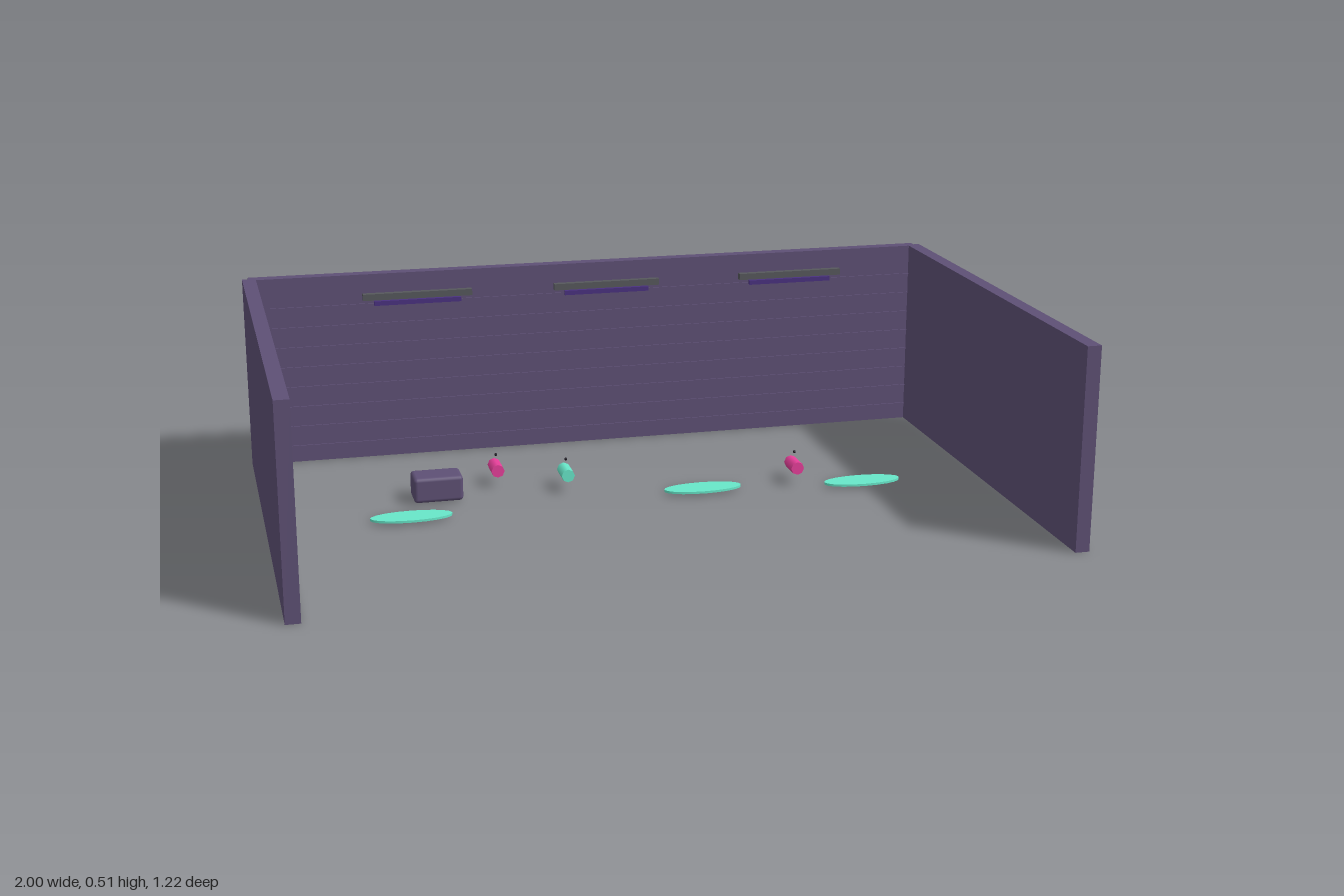
import * as THREE from 'three';
import { RoundedBoxGeometry } from 'three/addons/geometries/RoundedBoxGeometry.js';

const mat = (name, color) => Object.assign(new THREE.MeshStandardMaterial({ color }), { name });

export function createModel() {
  const group = new THREE.Group();
  group.name = 'room';
  const plum = mat('plum', 0x5e5075);
  const charcoal = mat('charcoal', 0x56585c);
  const violet = mat('violet', 0x4a3180);
  const teal = mat('teal', 0x68e8ca);
  const pink = mat('pink', 0xee429f);
  const black = mat('black', 0x1c1822);

  const add = (name, geometry, material, x, y, z) => {
    const mesh = new THREE.Mesh(geometry, material);
    mesh.name = name;
    mesh.position.set(x, y, z);
    group.add(mesh);
    return mesh;
  };
  const box = (name, material, w, h, d, x, y, z) =>
    add(name, new THREE.BoxGeometry(w, h, d), material, x, y, z);

  // Three walls, open at the front
  const H = 0.515;
  box('backWall', plum, 1.89, H, 0.035, -0.039, H / 2, -0.5915);
  box('rightWall', plum, 0.036, H, 1.198, -0.982, H / 2, 0.01);
  box('leftWall', plum, 0.036, H, 1.198, 0.904, H / 2, 0.01);

  // Staggered seam strips along the back wall
  for (let i = 0; i < 8; i++) {
    const x = i % 2 ? 0.033 : -0.027;
    box('wallSeam', plum, 1.934, 0.0025, 0.004, x, 0.045 + i * 0.0555, -0.572);
  }

  // Hanging lamps: housing with a narrower tube below
  for (const x of [-0.553, -0.04, 0.478]) {
    box('lampHousing', charcoal, 0.29, 0.017, 0.017, x, 0.488, -0.42);
    box('lampTube', violet, 0.231, 0.012, 0.011, x, 0.47, -0.42);
  }

  // Storage box
  add('storageBox', new RoundedBoxGeometry(0.128, 0.067, 0.082, 2, 0.01), plum, -0.552, 0.038, -0.163);

  // Small cans lying along z, each with a dark bead above
  for (const [x, z, material] of [[-0.382, -0.247, pink], [-0.21, -0.164, teal], [0.392, -0.079, pink]]) {
    const can = add('can', new THREE.CylinderGeometry(0.0175, 0.0175, 0.064, 8), material, x, 0.046, z);
    can.rotation.x = Math.PI / 2;
    add('bead', new THREE.SphereGeometry(0.004, 8, 6), black, x, 0.083, z);
  }

  // Flat oval puddles
  for (const [x, z] of [[-0.638, -0.017], [0.135, -0.06], [0.561, -0.017]]) {
    const puddle = add('puddle', new THREE.CylinderGeometry(1, 1, 0.006, 20), teal, x, 0.009, z);
    puddle.scale.set(0.104, 1, 0.038);
  }
  return group;
}
